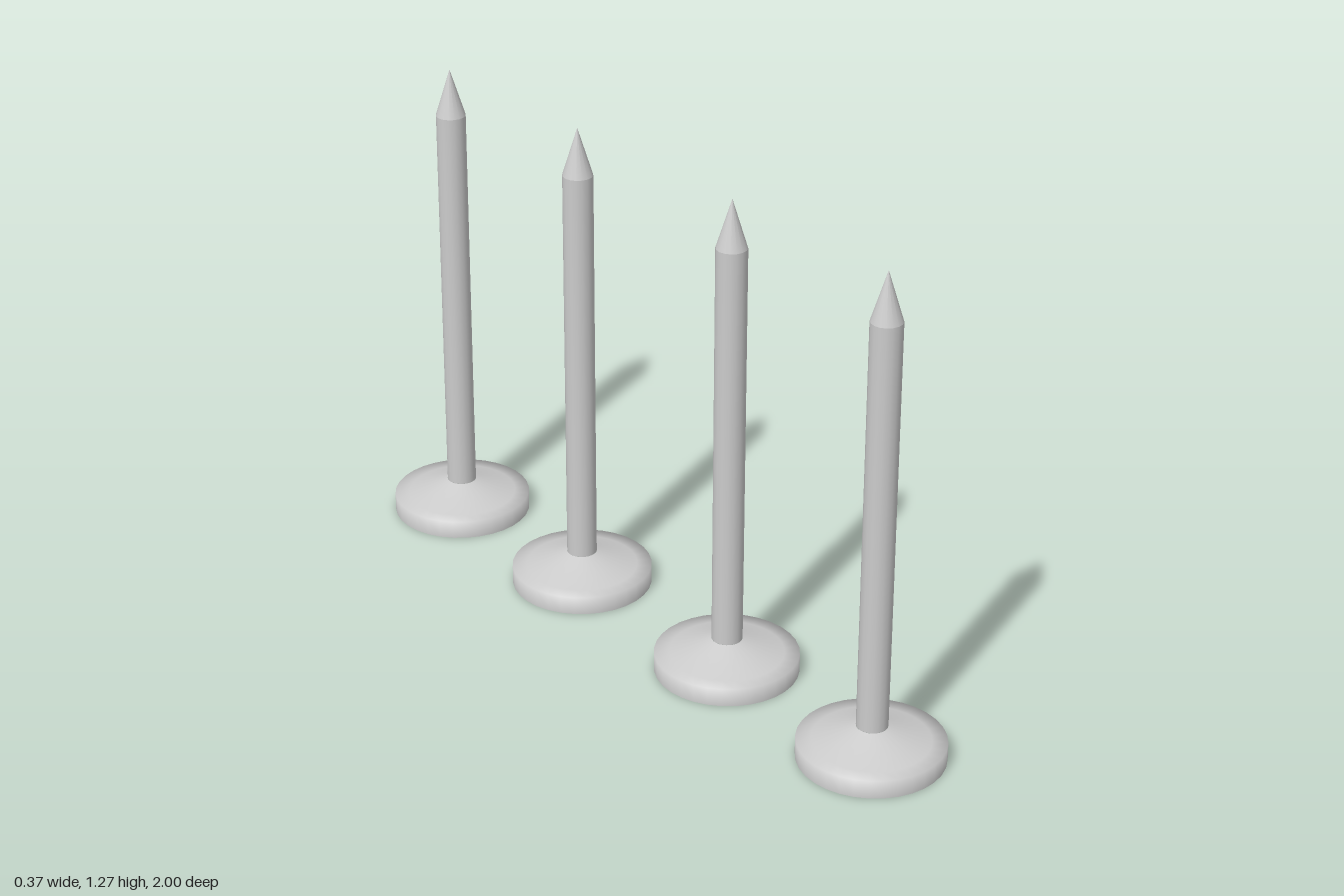
import * as THREE from 'three';

const HEAD_R = 0.183, HEAD_H = 0.048;
const SHAFT_R = 0.039, SHAFT_BASE = 0.088, SHAFT_TOP = 1.15, TIP_Y = 1.275;

export function createModel() {
  const model = new THREE.Group();
  model.name = 'nails';
  const material = new THREE.MeshStandardMaterial({ color: 0xcccccc });

  // Head: softly shaded rim, narrow ledge and cone rising to the shaft
  const headGeo = new THREE.LatheGeometry([
    new THREE.Vector2(HEAD_R, 0),
    new THREE.Vector2(HEAD_R, HEAD_H),
    new THREE.Vector2(0.145, HEAD_H + 0.001),
    new THREE.Vector2(SHAFT_R, SHAFT_BASE),
  ], 32);

  // Flat underside of the head
  const baseGeo = new THREE.CircleGeometry(HEAD_R, 32).rotateX(Math.PI / 2).rotateY(Math.PI / 2);

  // Shaft and pointed tip
  const shaftH = SHAFT_TOP - SHAFT_BASE;
  const shaftGeo = new THREE.CylinderGeometry(SHAFT_R, SHAFT_R, shaftH, 16, 1, true)
    .translate(0, SHAFT_BASE + shaftH / 2, 0);
  const tipH = TIP_Y - SHAFT_TOP;
  const tipGeo = new THREE.ConeGeometry(SHAFT_R, tipH, 16, 1, true)
    .translate(0, SHAFT_TOP + tipH / 2, 0);

  const parts = { head: headGeo, headBase: baseGeo, shaft: shaftGeo, tip: tipGeo };

  // Four nails in a row, two pairs mirrored about the centre
  for (const z of [0.817, 0.29, -0.29, -0.817]) {
    const nail = new THREE.Group();
    nail.name = 'nail';
    for (const [name, geometry] of Object.entries(parts)) {
      const mesh = new THREE.Mesh(geometry, material);
      mesh.name = name;
      nail.add(mesh);
    }
    nail.position.z = z;
    model.add(nail);
  }
  return model;
}
